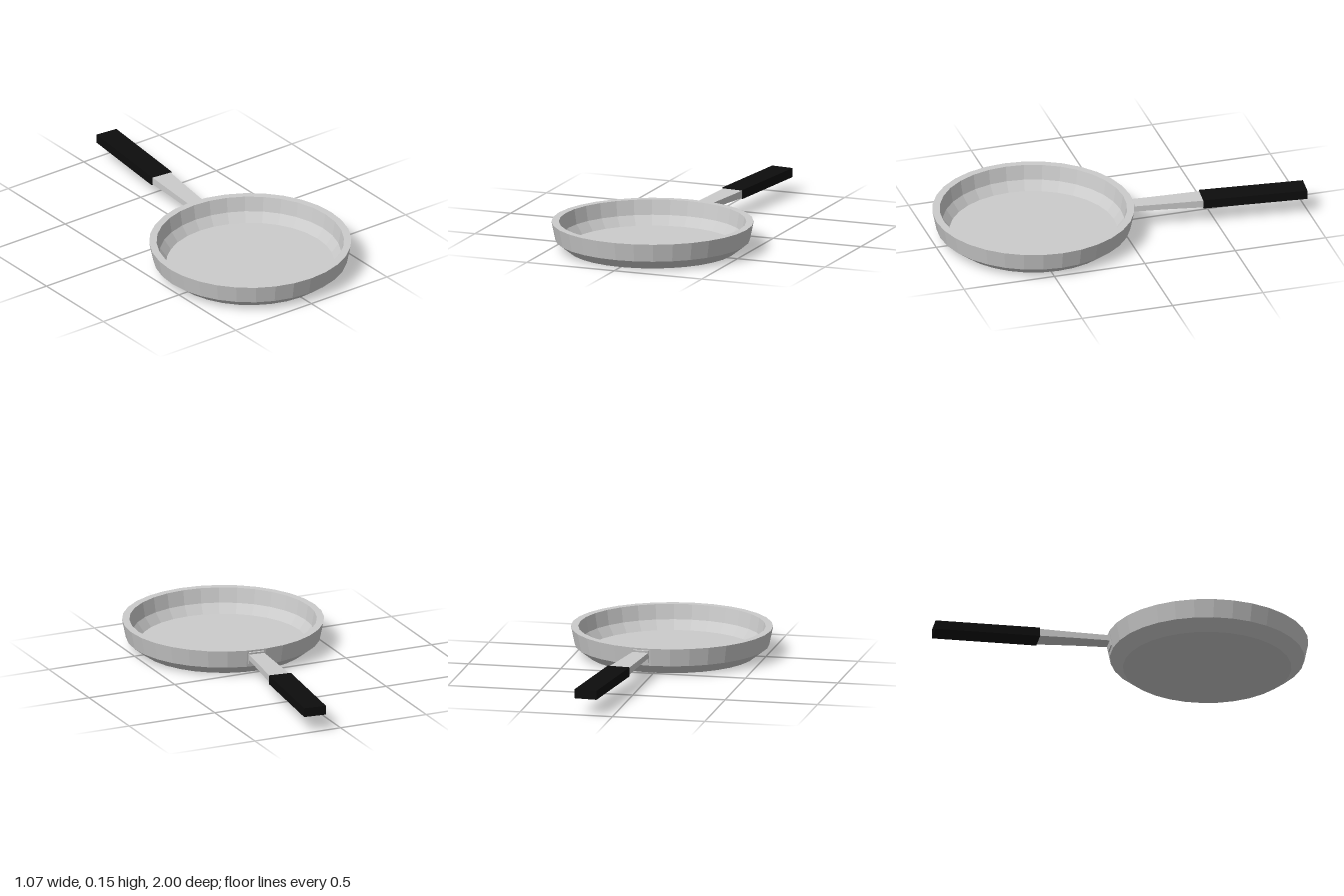
import * as THREE from 'three';

const steel = new THREE.MeshStandardMaterial({ color: 0xcccccc, flatShading: true });
const black = new THREE.MeshStandardMaterial({ color: 0x0d0d0d, flatShading: true });

function part(name, geometry, material) {
  const mesh = new THREE.Mesh(geometry, material);
  mesh.name = name;
  return mesh;
}

// Rectangular bar running towards -z; sections are [distance, width, bottom, top]
function bar(sections) {
  const n = sections.length - 1;
  const geometry = new THREE.BoxGeometry(1, 1, 1, 1, 1, n);
  const p = geometry.attributes.position;
  for (let i = 0; i < p.count; i++) {
    const [d, w, y0, y1] = sections[Math.round((0.5 - p.getZ(i)) * n)];
    p.setXYZ(i, p.getX(i) * w, p.getY(i) > 0 ? y1 : y0, -d);
  }
  geometry.computeVertexNormals();
  return geometry;
}

export function createModel() {
  const model = new THREE.Group();
  model.name = 'fryingPan';
  model.position.z = 0.463;

  // Pan: outside from the base up, over the flat rim and down to the floor
  const profile = [
    [0, 0], [0.446, 0], [0.515, 0.053], [0.535, 0.15],
    [0.496, 0.15], [0.482, 0.07], [0.445, 0.02], [0, 0.02],
  ].map(([r, y]) => new THREE.Vector2(r, y));
  model.add(part('pan', new THREE.LatheGeometry(profile, 32), steel));

  // Handle: set radially, turned slightly to one side
  const handle = new THREE.Group();
  handle.name = 'handle';
  handle.rotation.y = -0.1;
  handle.add(part('handleShank', bar([
    [0.515, 0.085, 0.098, 0.128],
    [0.715, 0.098, 0.096, 0.129],
    [0.91, 0.112, 0.091, 0.131],
  ]), steel));
  handle.add(part('handleGrip', bar([
    [0.905, 0.122, 0.087, 0.136],
    [1.465, 0.122, 0.087, 0.136],
  ]), black));

  // Mounting plate lying against the sloping wall
  const plate = part('mountingPlate', new THREE.BoxGeometry(0.085, 0.07, 0.012), steel);
  plate.position.set(0, 0.105, -0.525);
  plate.rotation.x = -0.2;
  handle.add(plate);
  model.add(handle);

  const root = new THREE.Group();
  root.add(model);
  return root;
}
